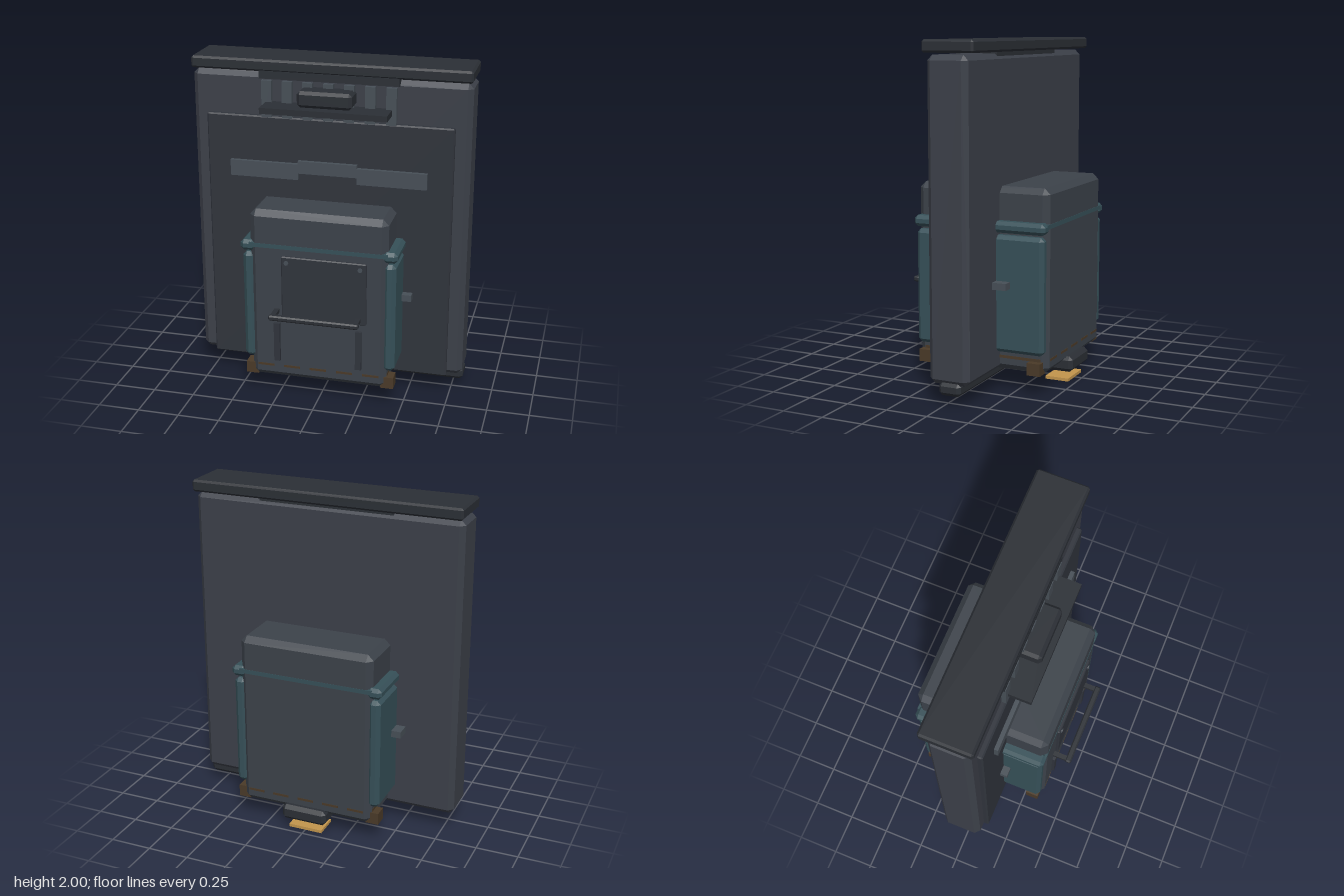
import * as THREE from 'three';
import { ConvexGeometry } from 'three/addons/geometries/ConvexGeometry.js';

const mat = (color) => new THREE.MeshStandardMaterial({ color, flatShading: true });

// Box from min/max extents with every edge chamfered by c
function chamferGeometry(w, h, d, c) {
  const pts = [];
  for (const sx of [-1, 1]) for (const sy of [-1, 1]) for (const sz of [-1, 1]) {
    const [x, y, z] = [sx * w / 2, sy * h / 2, sz * d / 2];
    pts.push(new THREE.Vector3(x, y - sy * c, z - sz * c));
    pts.push(new THREE.Vector3(x - sx * c, y, z - sz * c));
    pts.push(new THREE.Vector3(x - sx * c, y - sy * c, z));
  }
  return new ConvexGeometry(pts);
}

export function createModel() {
  const model = new THREE.Group();
  model.name = 'wallFurnace';
  const wallMat = mat(0x3c4049), panelMat = mat(0x30343c), bodyMat = mat(0x3c424a);
  const darkMat = mat(0x2b2f35), trimMat = mat(0x474f57), tealMat = mat(0x365058);
  const brownMat = mat(0x4a3a28), goldMat = mat(0xc2954c);

  const add = (name, geometry, material, x, y, z) => {
    const mesh = new THREE.Mesh(geometry, material);
    mesh.name = name;
    mesh.position.set(x, y, z);
    model.add(mesh);
    return mesh;
  };
  const box = (name, material, [x0, x1], [y0, y1], [z0, z1], c = 0) => {
    const w = x1 - x0, h = y1 - y0, d = z1 - z0;
    const g = c > 0 ? chamferGeometry(w, h, d, c) : new THREE.BoxGeometry(w, h, d);
    return add(name, g, material, (x0 + x1) / 2, (y0 + y1) / 2, (z0 + z1) / 2);
  };

  // Upright slab with its cap and raised front panel
  box('wallSlab', wallMat, [-0.82, 0.82], [0.12, 1.92], [-0.155, 0.09], 0.03);
  box('capNeck', darkMat, [-0.41, 0.41], [1.89, 1.935], [-0.14, 0.115]);
  box('cap', darkMat, [-0.82, 0.82], [1.93, 2], [-0.195, 0.115], 0.012);
  box('frontPanel', panelMat, [-0.73, 0.73], [0.12, 1.67], [0.07, 0.12], 0.008);

  // Upper grille: posts, shelf and lamp housing
  for (let i = -3; i <= 3; i++) {
    const x = i * 0.122;
    box('grillePost', trimMat, [x - 0.03, x + 0.03], [1.66, 1.88], [0.08, 0.118]);
  }
  box('grilleShelf', darkMat, [-0.37, 0.37], [1.72, 1.755], [0.08, 0.25]);
  box('lampHousing', darkMat, [-0.16, 0.16], [1.76, 1.855], [0.08, 0.22], 0.018);

  // Stepped plate across the front panel
  const plate = new THREE.Shape([
    [-0.585, 1.305], [-0.175, 1.305], [-0.175, 1.345], [0.175, 1.345], [0.175, 1.305], [0.585, 1.305],
    [0.585, 1.4], [0.175, 1.4], [0.175, 1.42], [-0.175, 1.42], [-0.175, 1.4], [-0.585, 1.4],
  ].map(([x, y]) => new THREE.Vector2(x, y)));
  add('steppedPlate', new THREE.ExtrudeGeometry(plate, { depth: 0.035, bevelEnabled: false }), trimMat, 0, 0, 0.11);

  // Firebox passing through the slab
  box('firebox', bodyMat, [-0.41, 0.41], [0.12, 1.18], [-0.45, 0.37], 0.035);
  box('fireboxBand', tealMat, [-0.412, 0.412], [0.955, 0.98], [-0.452, 0.372]);

  // Side panels, ribs, lugs and corner feet
  for (const s of [-1, 1]) {
    const span = (a, b) => (s > 0 ? [a, b] : [-b, -a]);
    box('sidePanel', tealMat, span(0.385, 0.457), [0.235, 0.91], [-0.44, 0.36], 0.022);
    box('sideRib', tealMat, span(0.38, 0.467), [0.925, 0.99], [-0.45, 0.372], 0.02);
    box('sideLug', trimMat, span(0.43, 0.515), [0.61, 0.65], [-0.24, 0.165]);
    box('sideBaseStrip', brownMat, span(0.4, 0.412), [0.192, 0.208], [-0.41, 0.33]);
    for (const z of [-0.382, 0.31])
      box('foot', brownMat, span(0.375, 0.452), [0.12, 0.192], [z - 0.04, z + 0.04]);
  }

  // Broken trim line around the base, front and back
  for (const x of [-0.32, -0.16, 0, 0.16, 0.32])
    for (const z of [-0.45, 0.37])
      box('baseTrim', brownMat, [x - 0.05, x + 0.05], [0.193, 0.207], [z - 0.002, z + 0.002]);

  // Door with rivets, handle rail and lower bars
  box('door', panelMat, [-0.215, 0.292], [0.53, 0.915], [0.355, 0.386], 0.006);
  for (const x of [-0.183, 0.255]) {
    const rivet = add('rivet', new THREE.CylinderGeometry(0.014, 0.014, 0.02, 8), trimMat, x, 0.878, 0.382);
    rivet.rotation.x = Math.PI / 2;
  }
  box('handleRail', darkMat, [-0.268, 0.268], [0.548, 0.58], [0.452, 0.49], 0.008);
  for (const x of [-0.247, 0.247]) {
    box('handlePost', darkMat, [x - 0.015, x + 0.015], [0.553, 0.575], [0.36, 0.46]);
    box('lowerBar', panelMat, [x - 0.018, x + 0.018], [0.24, 0.485], [0.36, 0.388]);
  }

  // Pipe under the slab, its nozzle, and the rear duct and outlet
  box('underPipe', darkMat, [-0.05, 0.82], [0.06, 0.135], [-0.105, 0.03], 0.02);
  const nozzle = add('nozzle', new THREE.ConeGeometry(0.065, 0.045, 8), darkMat, 0, 0.06, -0.037);
  nozzle.rotation.x = Math.PI;
  box('rearDuct', darkMat, [-0.07, 0.07], [0.088, 0.13], [-0.31, -0.09]);
  box('rearOutlet', darkMat, [-0.14, 0.14], [0.065, 0.158], [-0.49, -0.29], 0.022);
  box('groundPlate', goldMat, [-0.105, 0.105], [0, 0.018], [-0.455, -0.31]);

  return model;
}
